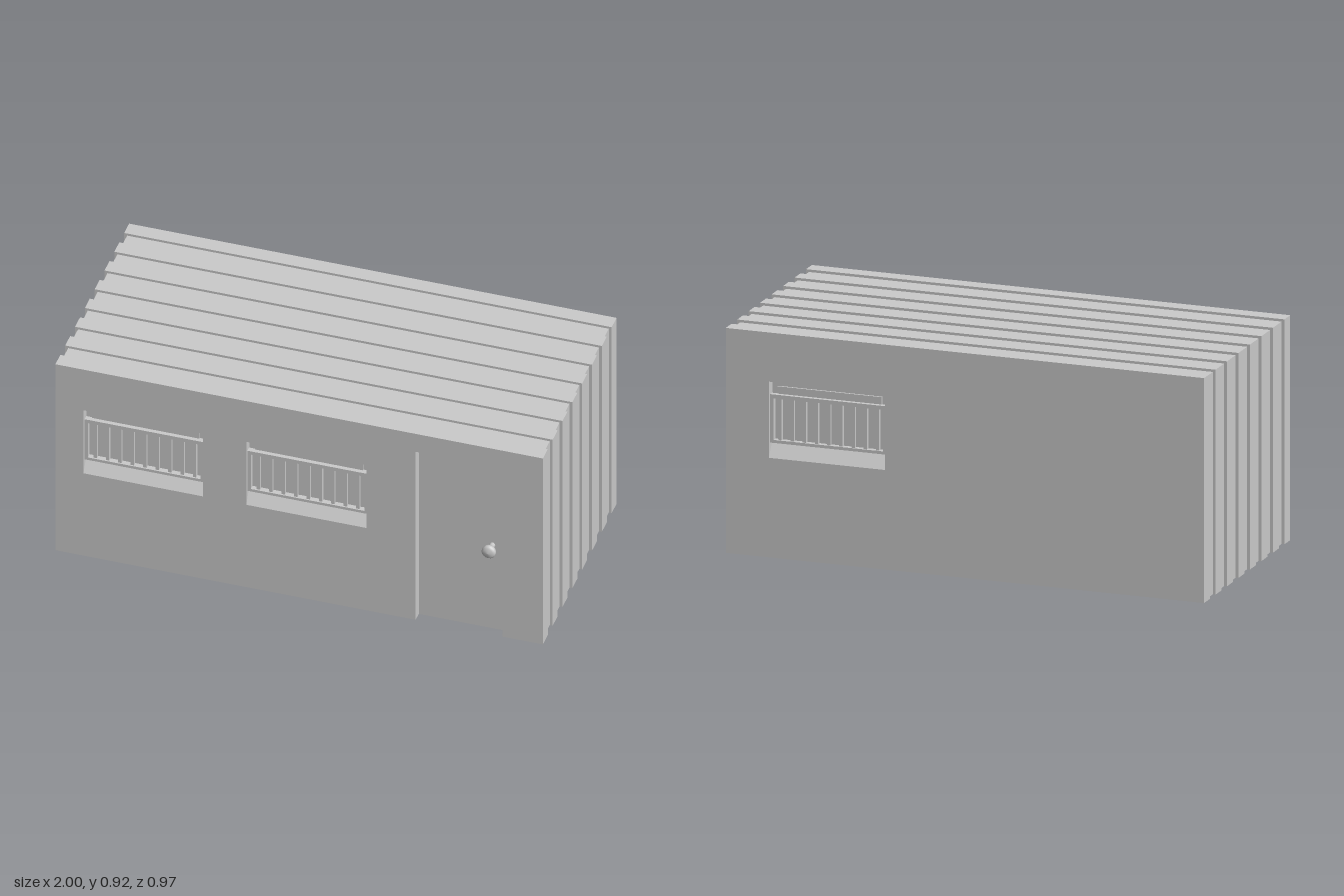
import * as THREE from 'three';

const W = 1, H = 0.915, FRONT = 0.465, BACK = -0.485, DEPTH = 0.04;
const mat = new THREE.MeshStandardMaterial({ color: 0xcccccc, side: THREE.DoubleSide });

function mesh(name, geo, parent) {
  const m = new THREE.Mesh(geo, mat);
  m.name = name;
  parent.add(m);
  return m;
}

// Flat-shaded surface from a list of four-cornered faces
function quads(list) {
  const pos = [];
  for (const [a, b, c, d] of list) pos.push(...a, ...b, ...c, ...a, ...c, ...d);
  const g = new THREE.BufferGeometry();
  g.setAttribute('position', new THREE.Float32BufferAttribute(pos, 3));
  g.computeVertexNormals();
  return g;
}

// Corrugated walls and roof: arch sections stepping in and out along z
function shellGeometry() {
  const ribs = 8, step = (FRONT - BACK) / (2 * ribs - 1), inset = 0.012;
  const sections = [];
  for (let i = 0; i < 2 * ribs - 1; i++) {
    const d = i % 2 ? inset : 0;
    for (const k of [i, i + 1]) {
      const z = FRONT - k * step, x = W - d, y = H - d * 0.85;
      sections.push([[x, 0, z], [x, y, z], [-x, y, z], [-x, 0, z]]);
    }
  }
  const faces = [];
  for (let i = 0; i < sections.length - 1; i++) {
    const a = sections[i], b = sections[i + 1];
    for (let j = 0; j < 3; j++) faces.push([a[j], b[j], b[j + 1], a[j + 1]]);
  }
  return quads(faces);
}

// End wall in the local plane z = 0 with window holes and an optional doorway
function wallGeometry(windows, door) {
  const s = new THREE.Shape();
  s.moveTo(-W, 0);
  if (door) {
    s.lineTo(door.x0, 0);
    s.lineTo(door.x0, door.y1);
    s.lineTo(door.x1, door.y1);
    s.lineTo(door.x1, 0);
  }
  s.lineTo(W, 0);
  s.lineTo(W, H);
  s.lineTo(-W, H);
  s.closePath();
  for (const { x0, x1, y0, y1 } of windows) {
    const h = new THREE.Path();
    h.moveTo(x0, y0);
    h.lineTo(x0, y1);
    h.lineTo(x1, y1);
    h.lineTo(x1, y0);
    h.closePath();
    s.holes.push(h);
  }
  return new THREE.ShapeGeometry(s);
}

// Recess behind an opening; the floor rises to backY0 as a sloping sill
function recessGeometry({ x0, x1, y0, y1 }, backY0, withFloor) {
  const f = [[x0, y0, 0], [x1, y0, 0], [x1, y1, 0], [x0, y1, 0]];
  const b = [[x0, backY0, -DEPTH], [x1, backY0, -DEPTH], [x1, y1, -DEPTH], [x0, y1, -DEPTH]];
  const faces = [b];
  for (let i = withFloor ? 0 : 1; i < 4; i++) {
    const j = (i + 1) % 4;
    faces.push([f[i], f[j], b[j], b[i]]);
  }
  return quads(faces);
}

function box(name, parent, w, h, d, x, y, z) {
  mesh(name, new THREE.BoxGeometry(w, h, d), parent).position.set(x, y, z);
}

// Window: sloped recess, head panel and a barred grille
function addWindow(parent, o) {
  const g = new THREE.Group();
  g.name = 'window';
  parent.add(g);
  const sill = 0.465, rail = 0.652, w = o.x1 - o.x0, cx = (o.x0 + o.x1) / 2;
  mesh('windowRecess', recessGeometry(o, sill, true), g);
  box('headPanel', g, w - 0.05, 0.032, 0.008, cx, 0.674, -DEPTH + 0.004);
  box('topRail', g, w, 0.016, 0.022, cx, rail, -DEPTH + 0.014);
  box('bottomRail', g, w, 0.012, 0.022, cx, sill + 0.004, -DEPTH + 0.014);
  for (const s of [-1, 1])
    box('sideRail', g, 0.014, rail - sill, 0.022, cx + s * (w / 2 - 0.007), (rail + sill) / 2, -DEPTH + 0.014);
  for (let i = -4; i <= 4; i++)
    box('bar', g, 0.014, rail - sill, 0.014, cx + i * 0.051, (rail + sill) / 2, -DEPTH + 0.012);
}

const windowAt = (x0, x1) => ({ x0, x1, y0: 0.405, y1: 0.715 });

export function createModel() {
  const model = new THREE.Group();
  model.name = 'containerCabin';
  mesh('corrugatedShell', shellGeometry(), model);

  // Front: two windows and a recessed door with a round knob
  const front = new THREE.Group();
  front.name = 'frontSide';
  front.position.z = FRONT;
  model.add(front);
  const door = { x0: 0.478, x1: 0.835, y0: 0, y1: 0.827 };
  const frontWindows = [windowAt(-0.885, -0.395), windowAt(-0.217, 0.277)];
  mesh('frontWall', wallGeometry(frontWindows, door), front);
  frontWindows.forEach(o => addWindow(front, o));
  mesh('door', recessGeometry(door, 0, false), front);
  const profile = [[0.012, 0], [0.012, 0.025], [0.024, 0.032], [0.029, 0.042], [0.028, 0.052], [0.021, 0.06], [0, 0.063]];
  const knob = mesh('doorKnob', new THREE.LatheGeometry(profile.map(p => new THREE.Vector2(...p)), 16), front);
  knob.rotation.x = Math.PI / 2;
  knob.position.set(0.78, 0.41, -DEPTH);

  // Back: one window, turned to face outward
  const back = new THREE.Group();
  back.name = 'backSide';
  back.position.z = BACK;
  back.rotation.y = Math.PI;
  model.add(back);
  const backWindow = windowAt(-0.82, -0.335);
  mesh('backWall', wallGeometry([backWindow], null), back);
  addWindow(back, backWindow);

  return model;
}
